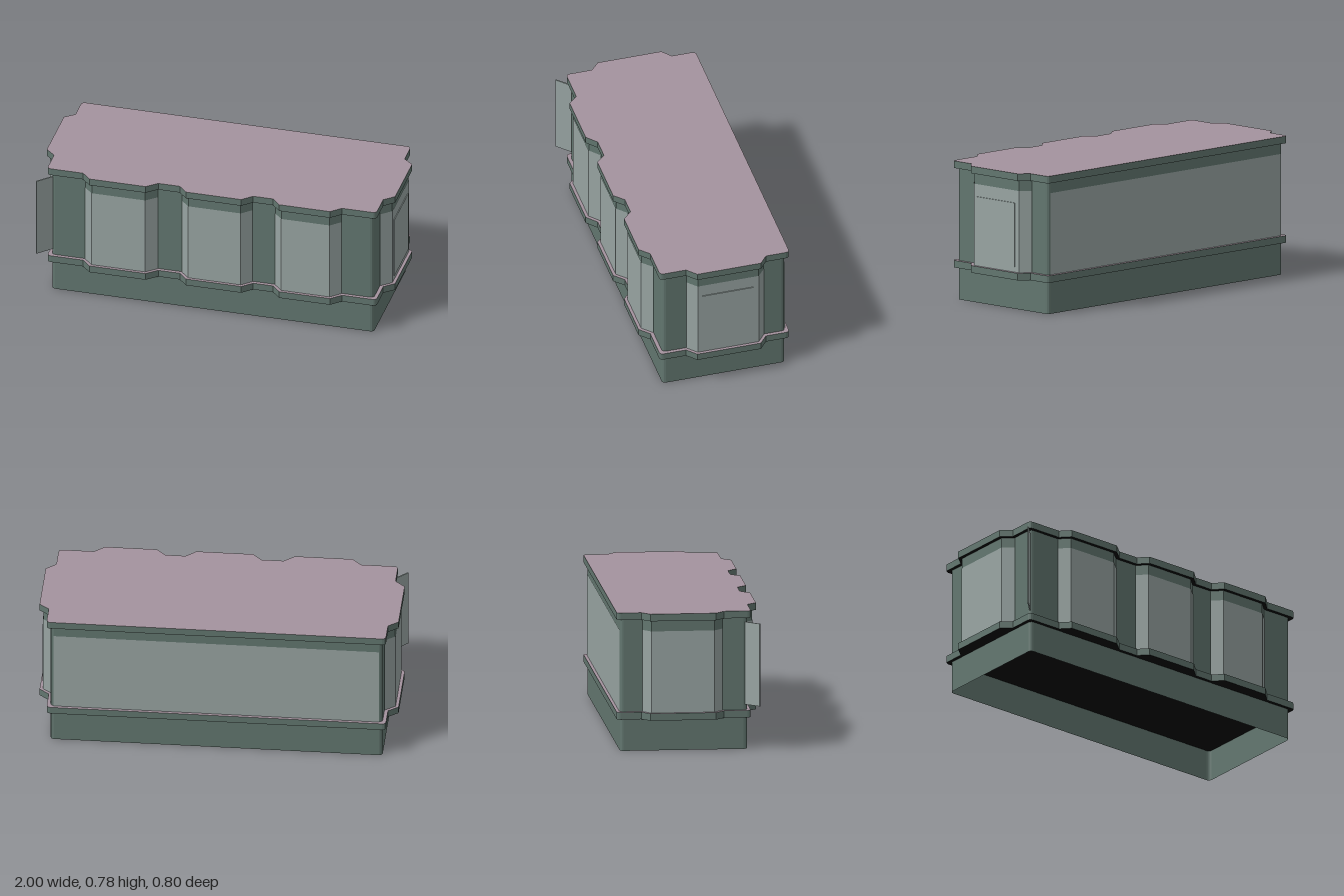
import * as THREE from 'three';

const paint = (name, color, side = THREE.FrontSide) => {
  const m = new THREE.MeshStandardMaterial({ color, side });
  m.name = name;
  return m;
};

// Plan measurements of the upper wall
const HALF_X = 0.925, BAY_X = 0.98, FRONT = 0.328, BAY_Z = 0.38, BACK = -0.38;
const FRONT_BAYS = [[-0.73, -0.68, -0.375, -0.315], [-0.175, -0.125, 0.175, 0.23], [0.36, 0.41, 0.685, 0.74]];
const SIDE_BAY = [0.19, 0.14, -0.21, -0.255];

// Bay corner points [x, z], grown outward by o
function frontBay([a, b, c, d], o) {
  const k = 0.41 * o;
  return [[a - k, FRONT + o], [b - k, BAY_Z + o], [c + k, BAY_Z + o], [d + k, FRONT + o]];
}
function sideBay(sign, o) {
  const [a, b, c, d] = SIDE_BAY, k = 0.41 * o;
  const pts = [[HALF_X + o, a + k], [BAY_X + o, b + k], [BAY_X + o, c - k], [HALF_X + o, d - k]]
    .map(([x, z]) => [x * sign, z]);
  return sign > 0 ? pts : pts.reverse();
}

// Small rounded corner at [x, z]
function corner(sx, z, o, startQuarter, r = 0.02) {
  const sz = z > 0 ? 1 : -1, out = [];
  const cx = sx * (HALF_X + o - r), cz = z + sz * (o - r);
  for (let i = 0; i <= 3; i++) {
    const t = (startQuarter + i / 3) * Math.PI / 2;
    out.push([cx + r * Math.cos(t), cz - r * Math.sin(t)]);
  }
  return out;
}

// Whole plan outline, with or without bays
function outline(o, bays = true) {
  return [
    ...corner(-1, FRONT, o, 2),
    ...(bays ? FRONT_BAYS.flatMap((b) => frontBay(b, o)) : []),
    ...corner(1, FRONT, o, 3),
    ...(bays ? sideBay(1, o) : []),
    ...corner(1, BACK, o, 0),
    ...corner(-1, BACK, o, 1),
    ...(bays ? sideBay(-1, o) : []),
  ];
}

// Upright strip of flat faces along a plan path
function ribbon(pts, y0, y1, closed = false) {
  const pos = [];
  const n = closed ? pts.length : pts.length - 1;
  for (let i = 0; i < n; i++) {
    const [ax, az] = pts[i], [bx, bz] = pts[(i + 1) % pts.length];
    pos.push(ax, y0, az, bx, y0, bz, bx, y1, bz, ax, y0, az, bx, y1, bz, ax, y1, az);
  }
  const g = new THREE.BufferGeometry();
  g.setAttribute('position', new THREE.Float32BufferAttribute(pos, 3));
  g.computeVertexNormals();
  return g;
}

// Flat slab with separate groups for underside, top and rim
function slab(pts, y0, y1) {
  const shape = new THREE.Shape(pts.map(([x, z]) => new THREE.Vector2(x, -z)));
  const g = new THREE.ExtrudeGeometry(shape, { depth: y1 - y0, bevelEnabled: false });
  const [lids, rim] = g.groups.map((q) => ({ ...q }));
  g.clearGroups();
  g.addGroup(lids.start, lids.count / 2, 0);
  g.addGroup(lids.start + lids.count / 2, lids.count / 2, 1);
  g.addGroup(rim.start, rim.count, 2);
  g.rotateX(-Math.PI / 2);
  g.translate(0, y0, 0);
  return g;
}

export function createModel() {
  const model = new THREE.Group();
  model.name = 'building';
  const wall = paint('wallGreen', 0x62766f, THREE.DoubleSide);
  const glass = paint('paleGlass', 0x98a4a2, THREE.DoubleSide);
  const roof = paint('mauveRoof', 0xa4939e);
  const dark = paint('blackUnderside', 0x060606);

  const add = (name, geometry, material) => {
    const mesh = new THREE.Mesh(geometry, material);
    mesh.name = name;
    model.add(mesh);
    return mesh;
  };

  // Open plinth, bayed walls and the two ledges
  add('plinth', ribbon(outline(0, false), 0, 0.18, true), wall);
  add('walls', ribbon(outline(0), 0.22, 0.74, true), wall);
  add('lowerLedge', slab(outline(0.02), 0.18, 0.22), [dark, roof, wall]);
  add('roofSlab', slab(outline(0.02), 0.74, 0.78), [dark, roof, wall]);

  // Windows wrapped round each bay, and one long pane at the back
  const proud = 0.003;
  FRONT_BAYS.forEach((b, i) => add('frontWindow' + (i + 1), ribbon(frontBay(b, proud), 0.22, 0.68), glass));
  add('leftWindow', ribbon(sideBay(1, proud), 0.22, 0.68), glass);
  add('rightWindow', ribbon(sideBay(-1, proud), 0.22, 0.68), glass);
  add('backWindow', ribbon([[0.907, BACK - proud], [-0.907, BACK - proud]], 0.22, 0.68), glass);

  // Thin plate on the left bay
  add('sidePlate', new THREE.BoxGeometry(0.008, 0.36, 0.295), glass).position.set(0.984, 0.43, -0.0325);

  // Sign board set diagonally off the front corner
  const sign = add('cornerSign', new THREE.BoxGeometry(0.11, 0.465, 0.007), glass);
  sign.position.set(-0.957, 0.4825, 0.354);
  sign.rotation.y = Math.PI / 4;
  return model;
}
